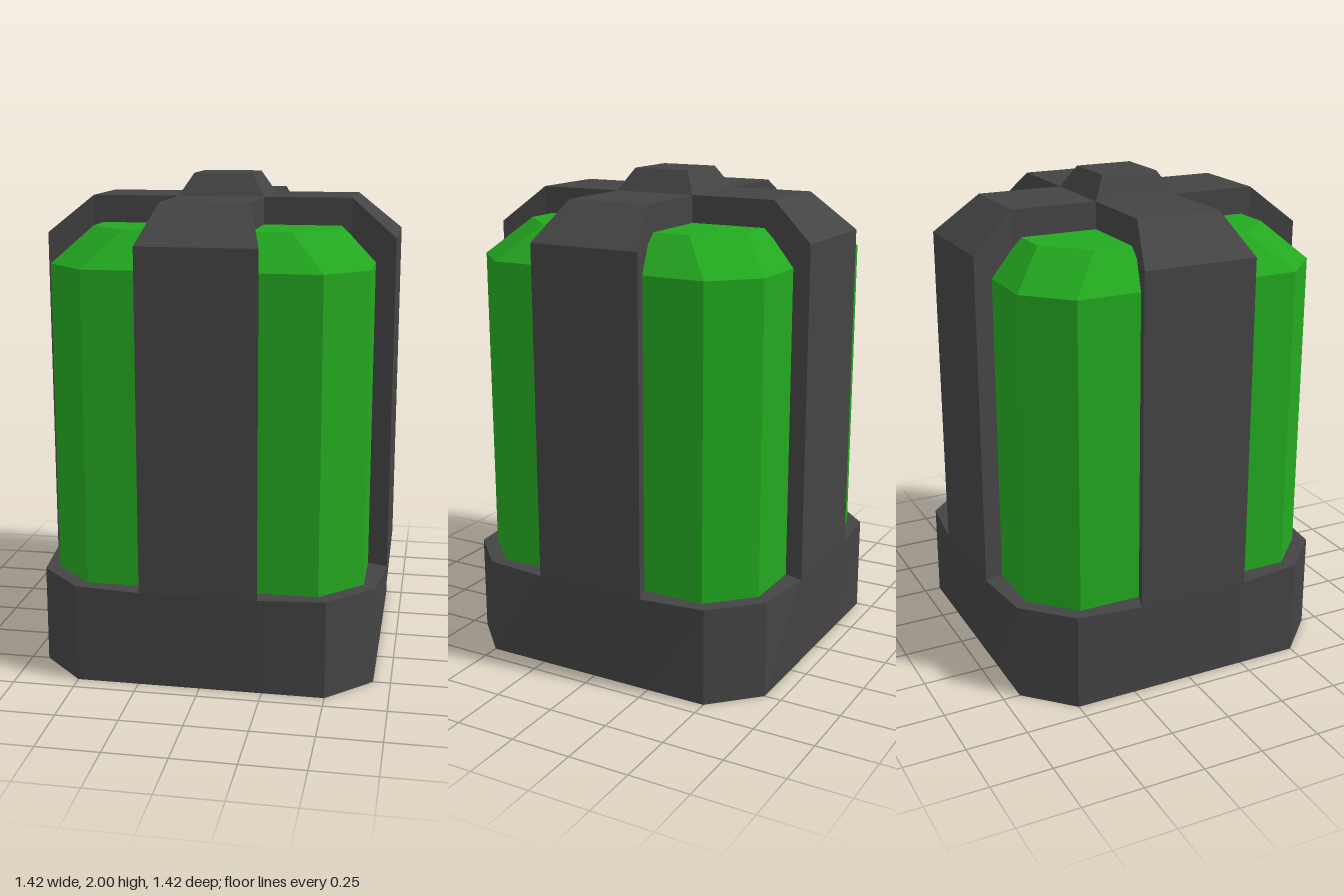
import * as THREE from 'three';

const grey = new THREE.MeshStandardMaterial({ color: 0x444444, flatShading: true });
const green = new THREE.MeshStandardMaterial({ color: 0x23a820, flatShading: true });

// Skins a row of rings; each ring runs counterclockwise seen from the last one
function loft(rings, capStart, capEnd) {
  const pos = [];
  const tri = (a, b, c) => pos.push(...a, ...b, ...c);
  const n = rings[0].length;
  for (let i = 0; i < rings.length - 1; i++) {
    for (let j = 0; j < n; j++) {
      const k = (j + 1) % n;
      const [a, b, c, d] = [rings[i][j], rings[i][k], rings[i + 1][k], rings[i + 1][j]];
      tri(a, b, c);
      tri(a, c, d);
    }
  }
  const first = rings[0], last = rings[rings.length - 1];
  for (let j = 1; j < n - 1; j++) {
    if (capStart) tri(first[0], first[j + 1], first[j]);
    if (capEnd) tri(last[0], last[j], last[j + 1]);
  }
  const geometry = new THREE.BufferGeometry();
  geometry.setAttribute('position', new THREE.Float32BufferAttribute(pos, 3));
  geometry.computeVertexNormals();
  return geometry;
}

// Level ring at height y, from the points of one quarter turned four times
function ring(y, quarter) {
  const points = [];
  let part = quarter;
  for (let i = 0; i < 4; i++) {
    points.push(...part.map(([x, z]) => [x, y, z]));
    part = part.map(([x, z]) => [z, -x]);
  }
  return points;
}

// Upright rectangle across an arm, at distance z from the centre
const slice = (z, w, top) => [[-w, 0.4, z], [w, 0.4, z], [w, top, z], [-w, top, z]];

export function createModel() {
  const model = new THREE.Group();
  const add = (name, geometry, material) => {
    const mesh = new THREE.Mesh(geometry, material);
    mesh.name = name;
    model.add(mesh);
    return mesh;
  };

  // Base: chamfered square whose sides swell towards the pillars at the top
  add('base', loft([
    ring(0, [[0.68, -0.235], [0.68, -0.5], [0.5, -0.68], [0.235, -0.68]]),
    ring(0.4, [[0.71, -0.235], [0.68, -0.5], [0.5, -0.68], [0.235, -0.71]]),
  ], true, true), grey);

  // Green core with chamfered corners and a bevelled top
  const core = [[0.63, -0.465], [0.465, -0.63]];
  add('core', loft([
    ring(0.4, core),
    ring(1.66, core),
    ring(1.8, [[0.49, -0.33], [0.33, -0.49]]),
  ], false, true), green);

  // Four pillars, flaring outwards, folded over the top to the hub
  const pillar = loft([
    slice(0.175, 0.175, 1.91),
    slice(0.53, 0.175, 1.91),
    slice(0.71, 0.235, 1.76),
  ], false, true);
  ['front', 'left', 'back', 'right'].forEach((side, i) => {
    add(side + 'Pillar', pillar, grey).rotation.y = i * Math.PI / 2;
  });

  // Raised hub where the pillars meet
  add('hub', loft([
    ring(1.75, [[0.175, -0.175]]),
    ring(1.91, [[0.175, -0.175]]),
    ring(2, [[0.12, -0.12]]),
  ], false, true), grey);

  return model;
}
